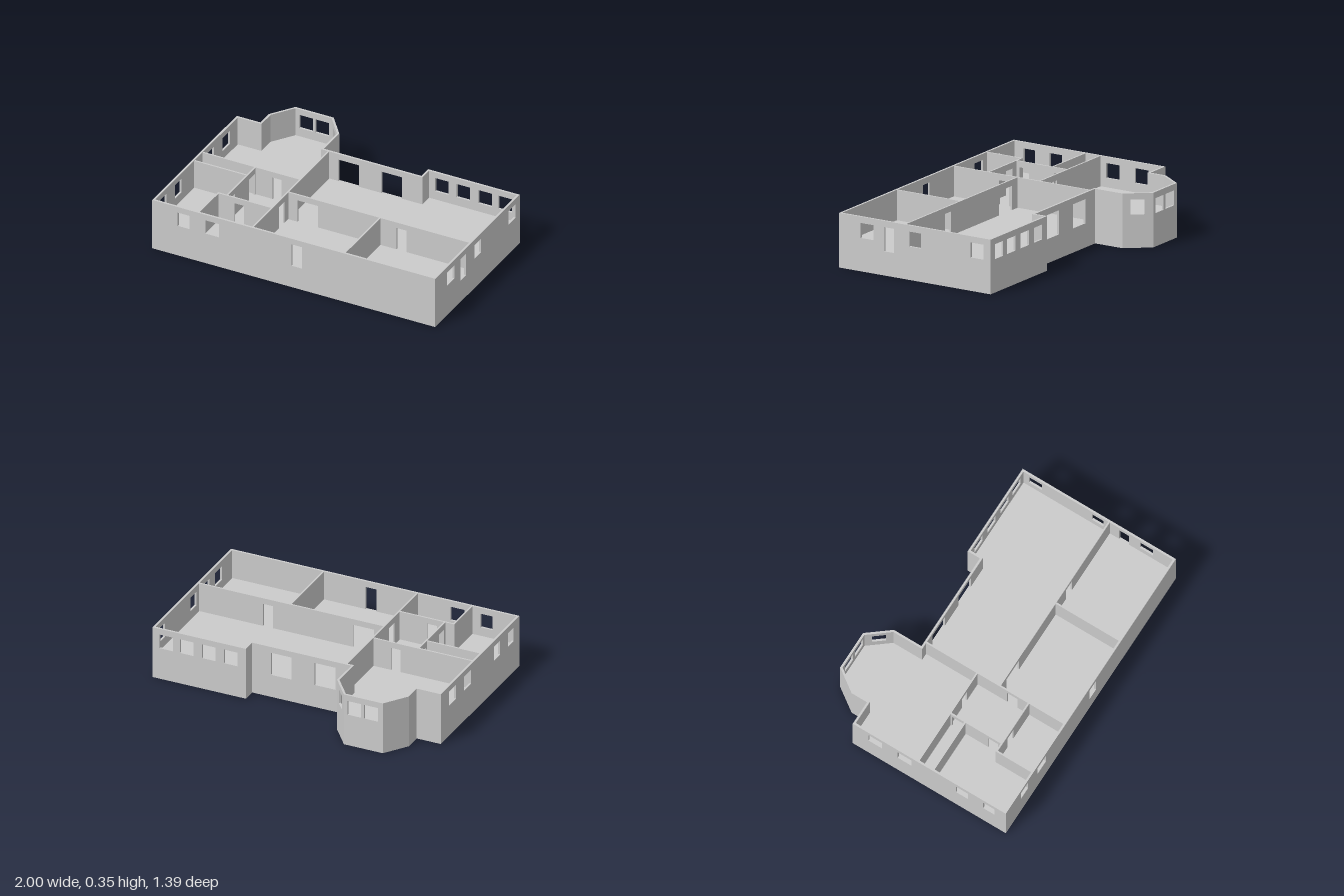
import * as THREE from 'three';

const TOP = 0.355, FLOOR = 0.157, HEAD = 0.314, SILL = 0.217;
const OUTER = 0.014, INNER = 0.011;

// outer corners of the building as [x, z]
const outline = [
  [1, 0.697], [-1, 0.697], [-1, -0.432], [-0.832, -0.432], [-0.832, -0.545], [-0.725, -0.697],
  [-0.455, -0.697], [-0.335, -0.545], [-0.335, -0.342], [0.353, -0.342], [0.353, -0.432], [1, -0.432],
].map(([x, z]) => new THREE.Vector2(x, z));

// outer walls: index of the first corner -> name and openings [from, to, bottom]
// openings are placed by the coordinate that changes most along the wall
const win = (a, b) => [a, b, SILL];
const door = (a, b) => [a, b, FLOOR];
const outerWalls = {
  0: ['frontWall', [win(-0.82, -0.738), win(-0.625, -0.528), door(-0.015, 0.06)]],
  1: ['rightSideWall', [win(0.53, 0.615), win(0.33, 0.42), win(-0.1, 0), win(-0.315, -0.215)]],
  5: ['bayBackWall', [win(-0.69, -0.595), win(-0.575, -0.48)]],
  6: ['bayAngledWall', [win(-0.655, -0.584)]],
  8: ['terraceWall', [door(-0.226, -0.081), door(0.078, 0.223)]],
  10: ['backWall', [win(0.41, 0.505), win(0.562, 0.657), win(0.715, 0.81), win(0.857, 0.952)]],
  11: ['leftSideWall', [win(-0.377, -0.282), win(0.087, 0.173), door(0.287, 0.36), win(0.44, 0.537)]],
};

// partitions: name, start, end, doorways
const partitions = [
  ['spinePartition', [-0.297, -0.335], [-0.297, 0.69], [[0.27, 0.345]]],
  ['livingRoomPartition', [-0.297, 0.213], [0.993, 0.213], [[-0.227, -0.08], [0.474, 0.542]]],
  ['frontRoomPartition', [0.355, 0.213], [0.355, 0.69], []],
  ['bayRoomPartition', [-0.993, 0.047], [-0.297, 0.047], [[-0.49, -0.428]]],
  ['closetPartition', [-0.993, 0.158], [-0.615, 0.158], []],
  ['hallPartition', [-0.615, 0.047], [-0.615, 0.427], [[0.062, 0.142], [0.33, 0.4]]],
  ['bathPartition', [-0.681, 0.427], [-0.297, 0.427], [[-0.56, -0.49]]],
  ['bathSidePartition', [-0.676, 0.427], [-0.676, 0.69], []],
];

const material = new THREE.MeshStandardMaterial({ color: 0xcccccc });
const direction = (a, b) => b.clone().sub(a).normalize();
const inward = (d) => new THREE.Vector2(-d.y, d.x);

// distances along the wall a-b for a pair of plan coordinates, in order
function along(a, d, from, to) {
  const axis = Math.abs(d.x) > Math.abs(d.y) ? 'x' : 'y';
  return [from, to].map((c) => (c - a[axis]) / d[axis]).sort((p, q) => p - q);
}

// turn a local wall (x along, y up, z thickness) into its place on the plan
function place(geometry, a, d) {
  const n = inward(d);
  const m = new THREE.Matrix4().makeBasis(
    new THREE.Vector3(d.x, 0, d.y), new THREE.Vector3(0, 1, 0), new THREE.Vector3(n.x, 0, n.y));
  m.setPosition(a.x, 0, a.y);
  return geometry.applyMatrix4(m);
}

function addMesh(group, geometry, name) {
  geometry.computeVertexNormals();
  const mesh = new THREE.Mesh(geometry, material);
  mesh.name = name;
  group.add(mesh);
}

// outer wall with window and door holes, its inner edge mitred at both corners
function outerWall(a, b, openings, mitreA, mitreB) {
  const d = direction(a, b), length = a.distanceTo(b);
  const shape = new THREE.Shape();
  shape.moveTo(0, 0).lineTo(length, 0).lineTo(length, TOP).lineTo(0, TOP).closePath();
  for (const [from, to, bottom] of openings) {
    const [u, v] = along(a, d, from, to);
    const hole = new THREE.Path();
    hole.moveTo(u, bottom).lineTo(u, HEAD).lineTo(v, HEAD).lineTo(v, bottom).closePath();
    shape.holes.push(hole);
  }
  const geometry = new THREE.ExtrudeGeometry(shape, { depth: OUTER, bevelEnabled: false });
  const p = geometry.attributes.position;
  for (let i = 0; i < p.count; i++) {
    if (p.getZ(i) < OUTER / 2) continue;
    if (p.getX(i) < 1e-5) p.setX(i, mitreA);
    else if (p.getX(i) > length - 1e-5) p.setX(i, length - mitreB);
  }
  return place(geometry, a, d);
}

// partition starting just under the floor, with doorways cut through to its foot
function partition(a, b, doorways) {
  const d = direction(a, b), length = a.distanceTo(b), foot = FLOOR - 0.018;
  const shape = new THREE.Shape();
  shape.moveTo(0, foot);
  for (const [from, to] of doorways) {
    const [u, v] = along(a, d, from, to);
    shape.lineTo(u, foot).lineTo(u, HEAD).lineTo(v, HEAD).lineTo(v, foot);
  }
  shape.lineTo(length, foot).lineTo(length, TOP - 0.001).lineTo(0, TOP - 0.001).closePath();
  const geometry = new THREE.ExtrudeGeometry(shape, { depth: INNER, bevelEnabled: false });
  geometry.translate(0, 0, -INNER / 2);
  return place(geometry, a, d);
}

export function createModel() {
  const model = new THREE.Group();
  model.name = 'floorPlanHouse';
  const count = outline.length;
  const at = (i) => outline[(i + count) % count];

  // corner mitres and the floor edge half way into the walls
  const mitres = [], floorEdge = [];
  for (let i = 0; i < count; i++) {
    const d1 = direction(at(i - 1), at(i)), d2 = direction(at(i), at(i + 1));
    const n1 = inward(d1), n2 = inward(d2);
    mitres.push(OUTER * Math.tan(Math.atan2(d2.dot(n1), d2.dot(d1)) / 2));
    const shift = n1.clone().add(n2).multiplyScalar(OUTER / 2 / (1 + n1.dot(n2)));
    floorEdge.push(at(i).clone().add(shift));
  }

  // outer walls
  for (let i = 0; i < count; i++) {
    const [name, openings] = outerWalls[i] || ['returnWall' + i, []];
    addMesh(model, outerWall(at(i), at(i + 1), openings, mitres[i], mitres[(i + 1) % count]), name);
  }

  // inner partitions
  for (const [name, a, b, doorways] of partitions) {
    addMesh(model, partition(new THREE.Vector2(...a), new THREE.Vector2(...b), doorways), name);
  }

  // raised floor slab
  const floor = new THREE.ExtrudeGeometry(new THREE.Shape(floorEdge), { depth: 0.004, bevelEnabled: false });
  floor.rotateX(Math.PI / 2).translate(0, FLOOR, 0);
  addMesh(model, floor, 'floor');
  return model;
}
